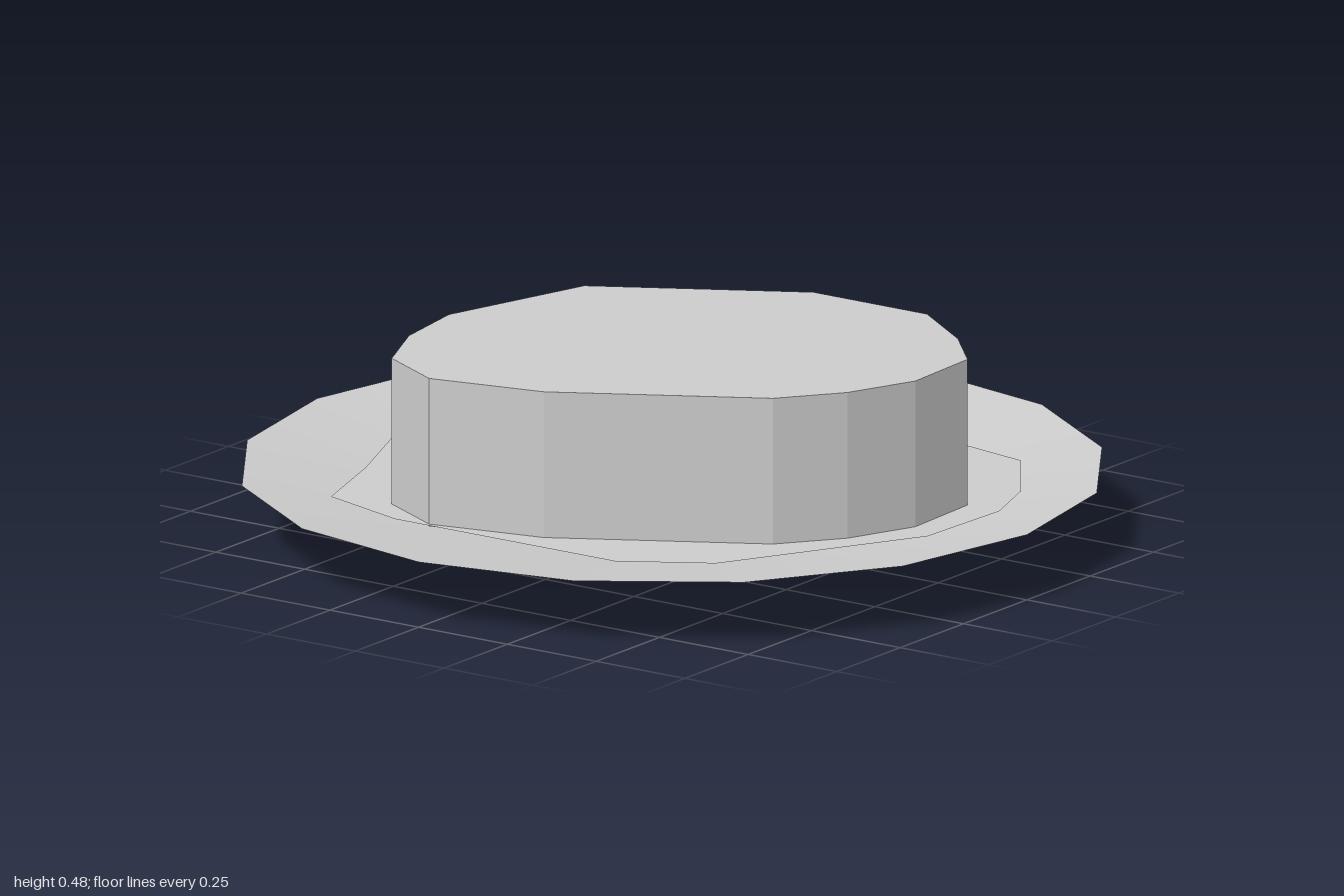
import * as THREE from 'three';

const grey = () => new THREE.MeshStandardMaterial({ color: 0xcccccc, flatShading: true, side: THREE.DoubleSide });

// Extrudes an outline of [x, z] points upwards from y0 to y1.
function slab(name, points, y0, y1) {
  const shape = new THREE.Shape(points.map(([x, z]) => new THREE.Vector2(x, -z)));
  const geometry = new THREE.ExtrudeGeometry(shape, { depth: y1 - y0, bevelEnabled: false });
  geometry.rotateX(-Math.PI / 2).translate(0, y0, 0);
  const mesh = new THREE.Mesh(geometry, grey());
  mesh.name = name;
  return mesh;
}

export function createModel() {
  const group = new THREE.Group();
  group.name = 'platedMeal';

  // Shallow open dish with sixteen sides
  const rim = 0.155;
  const dishGeometry = new THREE.ConeGeometry(1, rim, 16, 1, true);
  dishGeometry.rotateX(Math.PI).translate(0, rim / 2, 0);
  const dish = new THREE.Mesh(dishGeometry, grey());
  dish.material.flatShading = false;
  dish.name = 'plate';
  group.add(dish);

  // Sauce pool, its lower edge drawn in to follow the slope of the dish
  const sauce = slab('sauce', [
    [-0.3, -0.79], [0, -0.66], [0.3, -0.63], [0.57, -0.58], [0.72, -0.37], [0.78, -0.2],
    [0.77, 0.07], [0.51, 0.54], [0.31, 0.66], [-0.31, 0.66], [-0.54, 0.59], [-0.62, 0.34],
    [-0.8, -0.1], [-0.83, -0.3], [-0.6, -0.6],
  ], 0.114, 0.13);
  const pos = sauce.geometry.attributes.position;
  for (let i = 0; i < pos.count; i++) {
    if (pos.getY(i) < 0.12) pos.setXYZ(i, pos.getX(i) * 0.88, pos.getY(i), pos.getZ(i) * 0.88);
  }
  sauce.geometry.computeVertexNormals();
  group.add(sauce);

  // Thick cut of meat
  group.add(slab('steak', [
    [0.07, -0.46], [0.39, -0.46], [0.57, -0.33], [0.69, -0.2], [0.7, 0.02], [0.63, 0.19], [0.52, 0.33],
    [0.06, 0.59], [-0.22, 0.65], [-0.39, 0.56], [-0.47, 0.38], [-0.5, 0.18], [-0.39, -0.2],
  ], 0.125, 0.477));

  // Herb sprig: a bent stem with leaves on both sides
  const sprig = new THREE.Group();
  sprig.name = 'herbSprig';
  const path = [[-0.18, -0.68], [-0.29, -0.51], [-0.5, -0.27], [-0.58, -0.17], [-0.63, -0.03], [-0.62, 0.1]];
  const w = 0.01;
  const sides = [1, -1].map((s) => path.map(([x, z], i) => {
    const a = path[Math.max(i - 1, 0)], b = path[Math.min(i + 1, path.length - 1)];
    const dx = b[0] - a[0], dz = b[1] - a[1], l = Math.hypot(dx, dz);
    return [x - (s * w * dz) / l, z + (s * w * dx) / l];
  }));
  sprig.add(slab('stem', [...sides[0], ...sides[1].reverse()], 0.145, 0.166));

  const leaves = [
    [[-0.38, -0.685], [-0.35, -0.685], [-0.315, -0.54], [-0.35, -0.44], [-0.39, -0.42], [-0.41, -0.53]],
    [[-0.52, -0.525], [-0.49, -0.525], [-0.465, -0.39], [-0.51, -0.28], [-0.55, -0.26], [-0.565, -0.39]],
    [[-0.72, -0.275], [-0.69, -0.275], [-0.62, -0.13], [-0.63, -0.02], [-0.66, -0.02], [-0.72, -0.14]],
    [[-0.14, -0.475], [-0.15, -0.45], [-0.26, -0.375], [-0.4, -0.36], [-0.34, -0.42], [-0.28, -0.465]],
    [[-0.3, -0.285], [-0.31, -0.265], [-0.41, -0.19], [-0.56, -0.17], [-0.5, -0.235], [-0.44, -0.285]],
    [[-0.405, -0.155], [-0.415, -0.13], [-0.49, -0.03], [-0.62, 0.01], [-0.6, -0.07], [-0.53, -0.125]],
  ];
  leaves.forEach((outline, i) => sprig.add(slab(`leaf${i + 1}`, outline, 0.13, 0.148)));
  group.add(sprig);

  return group;
}
